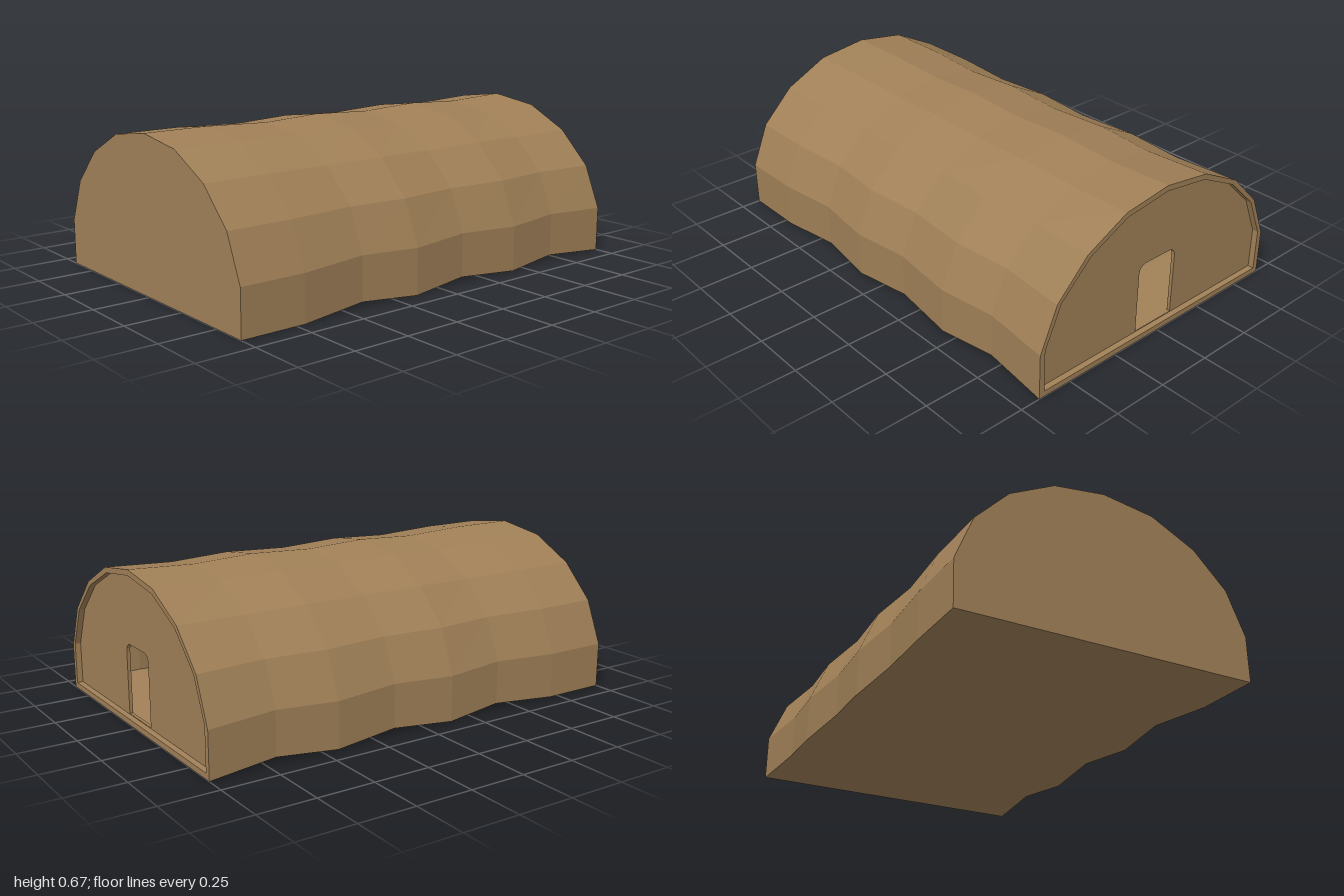
import * as THREE from 'three';

// Half of the hall's cross-section, from the ground up to the ridge
const HALF = [[0.66, 0], [0.66, 0.2], [0.58, 0.39], [0.43, 0.54], [0.23, 0.64], [0, 0.672]];
const PROFILE = [...HALF, ...HALF.slice(0, -1).reverse().map(([x, y]) => [-x, y])];
const WALL = 0.025;

// Stations along the length: z and whether the fabric sags inward there
const STATIONS = [[1, 0], [0.71, 0], [0.41, 1], [0.14, 0], [-0.14, 1], [-0.43, 0], [-0.7, 1], [-1, 0]];

const canvas = new THREE.MeshStandardMaterial({ color: 0xa08057, flatShading: true, side: THREE.DoubleSide });
const steel = new THREE.MeshStandardMaterial({ color: 0x5c5c62 });

// Profile moved inward by a distance
const inset = (d) => PROFILE.map(([x, y]) => [x * (1 - d / 0.66), d + y * (1 - 2 * d / 0.672)]);
// Profile drawn in where the fabric sags
const sag = (pts, s) => pts.map(([x, y]) => (s ? [x * 0.962, 0.02 + y * 0.952] : [x, y]));
const toShape = (pts) => new THREE.Shape(pts.map(([x, y]) => new THREE.Vector2(x, y)));

function add(parent, name, geometry, material) {
  const mesh = new THREE.Mesh(geometry, material);
  mesh.name = name;
  parent.add(mesh);
  return mesh;
}

// Closed skin lofted through all stations
function skin(pts, inward) {
  const pos = [];
  for (let i = 0; i < STATIONS.length - 1; i++) {
    const [[z1, s1], [z0, s0]] = [STATIONS[i], STATIONS[i + 1]];
    const A = sag(pts, s1), B = sag(pts, s0);
    for (let j = 0; j < pts.length; j++) {
      const k = (j + 1) % pts.length;
      const a = [...A[j], z1], b = [...B[j], z0], c = [...B[k], z0], d = [...A[k], z1];
      const quad = inward ? [a, c, b, a, d, c] : [a, b, c, a, c, d];
      pos.push(...quad.flat());
    }
  }
  const g = new THREE.BufferGeometry();
  g.setAttribute('position', new THREE.Float32BufferAttribute(pos, 3));
  g.computeVertexNormals();
  return g;
}

// Round bar between two points
function bar(parent, name, a, b, r) {
  const from = new THREE.Vector3(...a), dir = new THREE.Vector3(...b).sub(from);
  const mesh = add(parent, name, new THREE.CylinderGeometry(r, r, dir.length(), 8), steel);
  mesh.position.copy(from).addScaledVector(dir, 0.5);
  mesh.quaternion.setFromUnitVectors(new THREE.Vector3(0, 1, 0), dir.normalize());
}

export function createModel() {
  const root = new THREE.Group();
  root.name = 'archedShelter';
  const inner = inset(WALL);

  // Outer cover with floor, and its lining
  add(root, 'outerCover', skin(PROFILE, false), canvas);
  add(root, 'innerLining', skin(inner, true), canvas);

  // Closed front wall
  const front = new THREE.ExtrudeGeometry(toShape(PROFILE), { depth: 0.02, bevelEnabled: false });
  add(root, 'frontWall', front, canvas).position.z = 0.98;

  // Rim around the recessed back wall
  const rimShape = toShape(PROFILE);
  rimShape.holes.push(toShape(inner));
  add(root, 'backRim', new THREE.ShapeGeometry(rimShape).rotateY(Math.PI), canvas).position.z = -1;

  // Back wall with a doorway whose upper corners are rounded
  const door = new THREE.Path();
  door.moveTo(-0.105, 0.03);
  door.lineTo(0.105, 0.03);
  door.lineTo(0.105, 0.3);
  door.quadraticCurveTo(0.105, 0.34, 0.065, 0.34);
  door.lineTo(-0.065, 0.34);
  door.quadraticCurveTo(-0.105, 0.34, -0.105, 0.3);
  door.closePath();
  const wallShape = toShape(inner);
  wallShape.holes.push(door);
  const wall = new THREE.ExtrudeGeometry(wallShape, { depth: 0.015, bevelEnabled: false, curveSegments: 4 });
  add(root, 'backWall', wall, canvas).position.z = -0.975;

  // Supporting frame: arched ribs and lengthwise purlins
  const frame = new THREE.Group();
  frame.name = 'supportFrame';
  root.add(frame);
  const arch = inset(0.04);
  for (const z of [0.71, 0.14, -0.43]) {
    for (let j = 0; j < arch.length - 1; j++) {
      bar(frame, 'archRib', [...arch[j], z], [...arch[j + 1], z], 0.01);
    }
  }
  const line = inset(0.06);
  for (const j of [3, 5, 7]) {
    bar(frame, 'purlin', [...line[j], -0.94], [...line[j], 0.97], 0.01);
  }
  return root;
}
